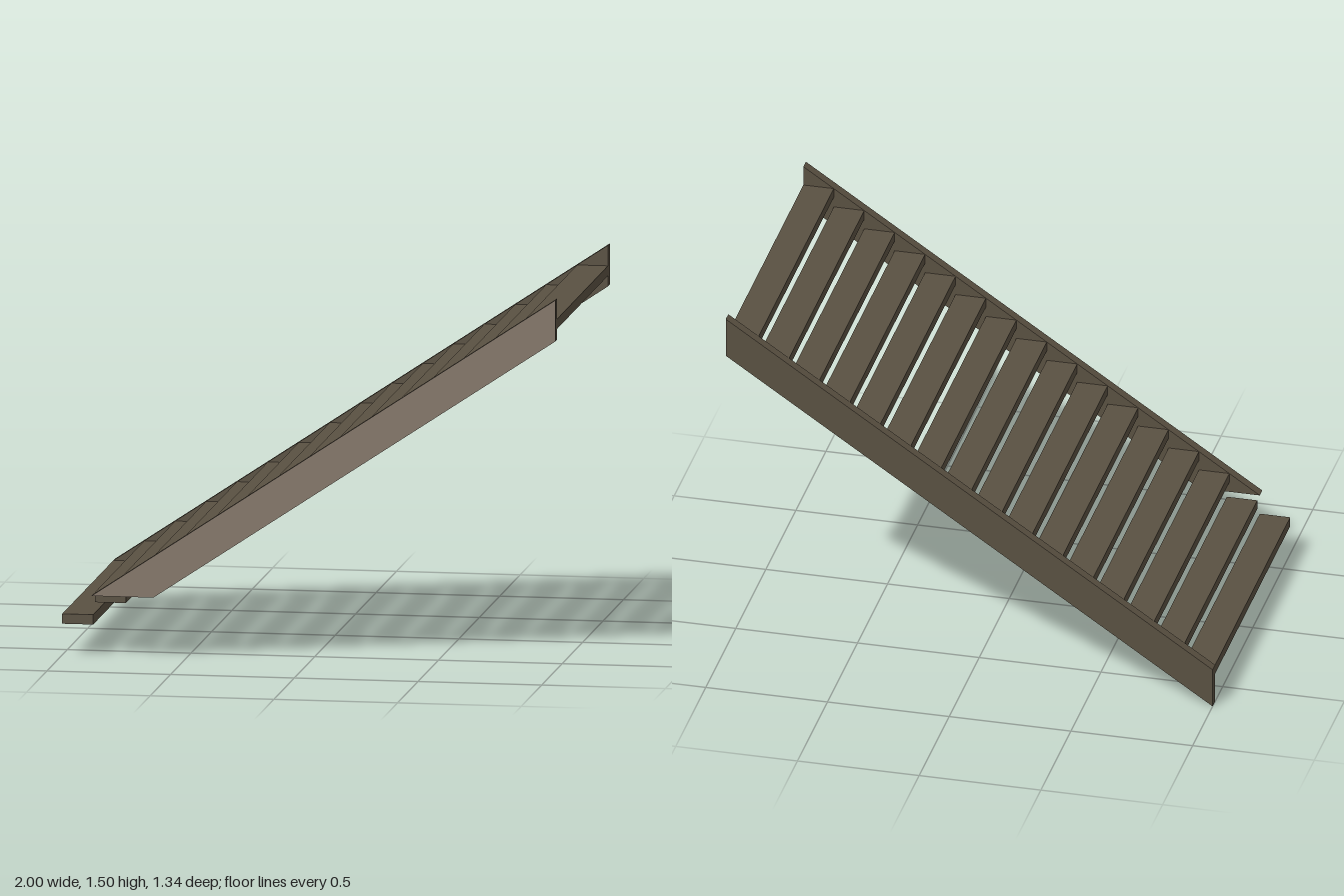
import * as THREE from 'three';

const STEPS = 16, RUN = 0.125, RISE = 1 / 12;
const INNER = 0.625, THICK = 0.042, TREAD = 0.04;

const wood = new THREE.MeshStandardMaterial({ color: 0x5a5142 });
wood.name = 'dark wood';
const paleWood = new THREE.MeshStandardMaterial({ color: 0x85776a });
paleWood.name = 'pale wood';

function outline(points) {
  return new THREE.Shape(points.map(([x, y]) => new THREE.Vector2(x, y)));
}

function stringer(name, shape, z) {
  const geometry = new THREE.ExtrudeGeometry(shape, { depth: THICK, bevelEnabled: false });
  const mesh = new THREE.Mesh(geometry, wood);
  mesh.name = name;
  mesh.position.z = z;
  return mesh;
}

export function createModel() {
  const group = new THREE.Group();
  group.name = 'staircase';

  // Full-length sloping board at the back
  const backShape = outline([[-1, 0], [1, 4 / 3], [1, 1.5], [-1, 1 / 6]]);
  group.add(stringer('backStringer', backShape, -INNER - THICK));

  // Front board, cut level above the two lowest treads
  const frontShape = outline([[-0.625, 0.25], [1, 4 / 3], [1, 1.5], [-0.875, 0.25]]);
  group.add(stringer('frontStringer', frontShape, INNER));

  // Pale outer face of the front board
  const face = new THREE.Mesh(new THREE.ShapeGeometry(frontShape), paleWood);
  face.name = 'frontStringerFace';
  face.position.z = INNER + THICK + 0.001;
  group.add(face);

  // Open treads; the second stops short of the front board
  for (let i = 0; i < STEPS; i++) {
    const front = i === 1 ? 0.583 : INNER;
    const tread = new THREE.Mesh(new THREE.BoxGeometry(RUN, TREAD, front + INNER), wood);
    tread.name = `tread${i + 1}`;
    tread.position.set(-1 + RUN * (i + 0.5), RISE * (i + 2) - TREAD / 2, (front - INNER) / 2);
    group.add(tread);
  }
  return group;
}
